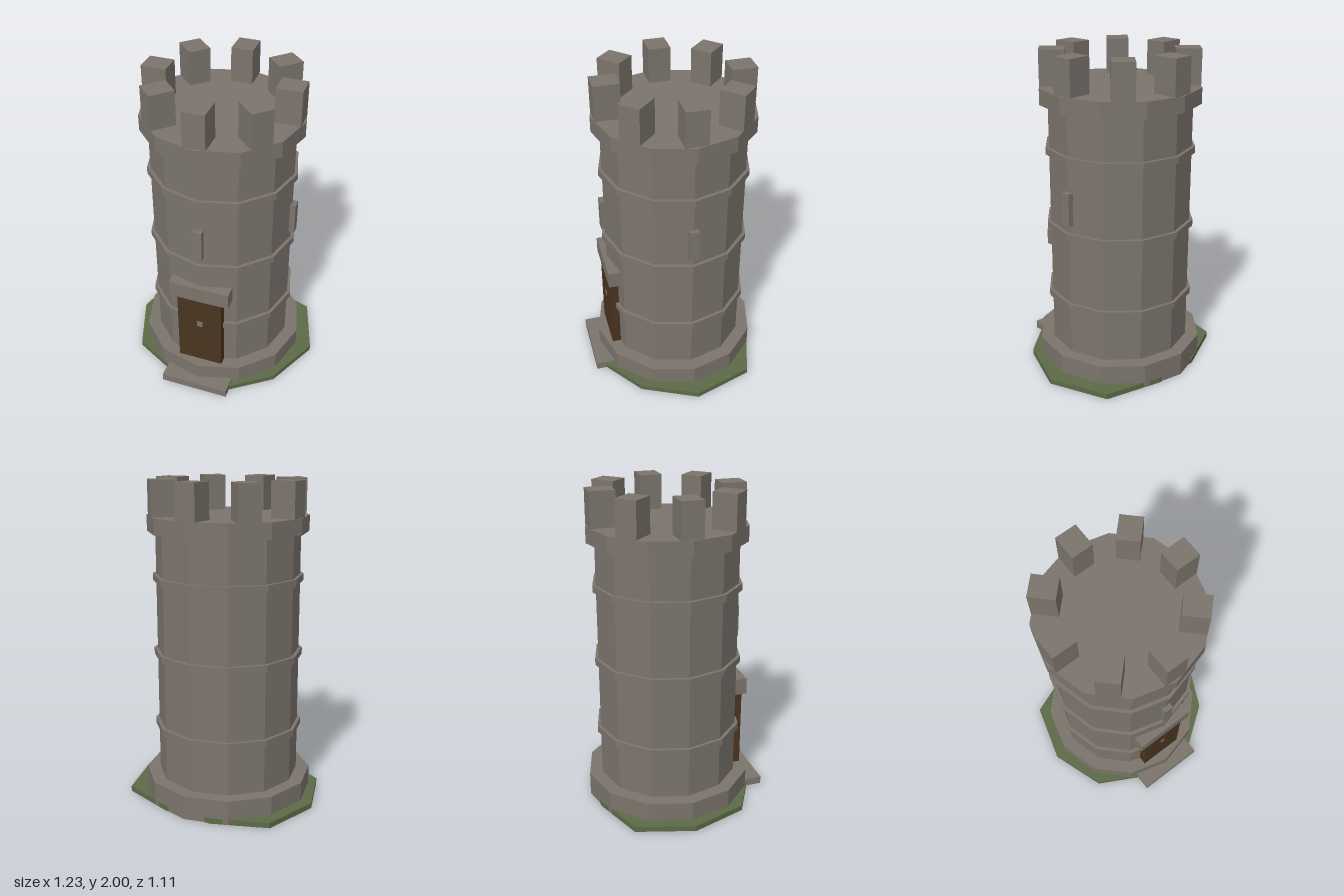
import * as THREE from 'three';

export function createModel() {
  const model = new THREE.Group();
  model.name = 'tower';

  const mat = (name, color) => {
    const m = new THREE.MeshStandardMaterial({ color, flatShading: true });
    m.name = name;
    return m;
  };
  const stone = mat('stone', 0x7b746c);
  const wood = mat('darkWood', 0x4a3520);
  const grass = mat('grass', 0x5c6b48);

  // Everything is placed around the tower's axis
  const tower = new THREE.Group();
  tower.name = 'towerParts';
  tower.position.set(-0.016, 0, -0.03);
  model.add(tower);

  const add = (name, geometry, material) => {
    const mesh = new THREE.Mesh(geometry, material);
    mesh.name = name;
    tower.add(mesh);
    return mesh;
  };

  // Twelve-sided drum between two heights
  const drum = (name, r, y0, y1) =>
    add(name, new THREE.CylinderGeometry(r, r, y1 - y0, 12), stone).position.y = (y0 + y1) / 2;

  // Box from its lower and upper limits
  const block = (name, material, [x0, x1], [y0, y1], [z0, z1]) => {
    const mesh = add(name, new THREE.BoxGeometry(x1 - x0, y1 - y0, z1 - z0), material);
    mesh.position.set((x0 + x1) / 2, (y0 + y1) / 2, (z0 + z1) / 2);
    return mesh;
  };

  // Tower body, plinth, string courses and parapet floor
  drum('plinth', 0.526, 0.002, 0.152);
  drum('body', 0.442, 0.15, 1.69);
  [0.47, 0.936, 1.407].forEach((y, i) => drum(`stringCourse${i + 1}`, 0.463, y - 0.021, y + 0.021));
  drum('parapet', 0.492, 1.688, 1.785);

  // Ring of eight merlons
  for (let i = 0; i < 8; i++) {
    const a = (i * Math.PI) / 4;
    const merlon = add(`merlon${i + 1}`, new THREE.BoxGeometry(0.134, 0.215, 0.153), stone);
    merlon.position.set(Math.sin(a) * 0.4, 1.8925, Math.cos(a) * 0.4);
    merlon.rotation.y = a;
  }

  // Doorway
  block('door', wood, [-0.145, 0.145], [0.152, 0.668], [0.395, 0.458]);
  block('lintel', stone, [-0.194, 0.194], [0.673, 0.778], [0.39, 0.47]);
  block('doorStep', stone, [-0.22, 0.22], [0, 0.05], [0.4, 0.586]);

  // Narrow window slabs on the front and left sides
  block('frontWindow', stone, [-0.029, 0.029], [1.01, 1.212], [0.41, 0.469]);
  block('leftWindow', stone, [0.41, 0.469], [1.01, 1.212], [-0.029, 0.029]);

  // Uneven ten-sided grass mound, radii running from +x towards the back
  const radii = [0.63, 0.632, 0.513, 0.518, 0.614, 0.6, 0.59, 0.54, 0.58, 0.58];
  const outline = radii.map((r, i) => {
    const a = (i * Math.PI) / 5;
    return new THREE.Vector2(Math.cos(a) * r, Math.sin(a) * r);
  });
  const mound = new THREE.ExtrudeGeometry(new THREE.Shape(outline), { depth: 0.034, bevelEnabled: false });
  mound.rotateX(-Math.PI / 2);
  add('grassMound', mound, grass);

  return model;
}
